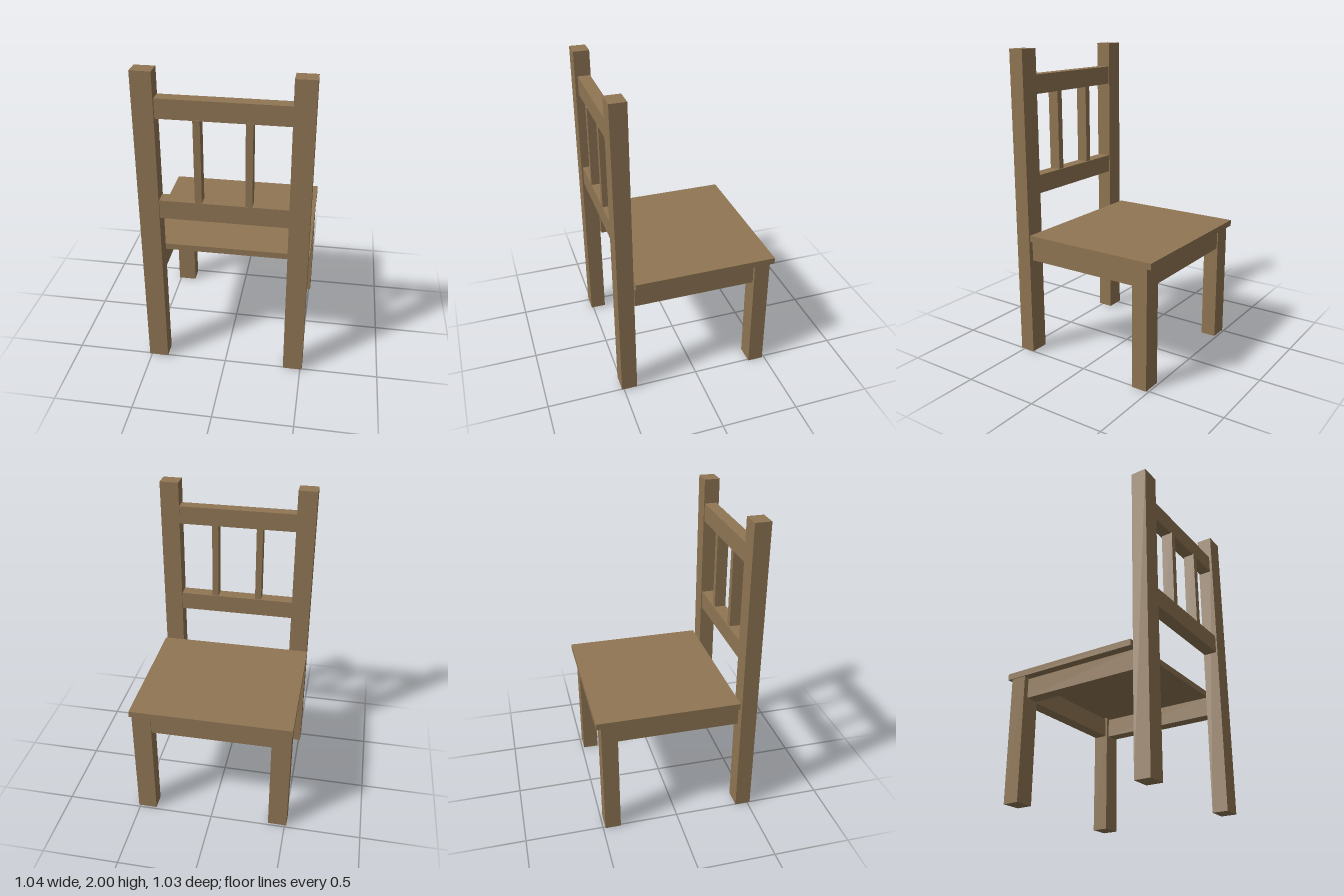
import * as THREE from 'three';

export function createModel() {
  const chair = new THREE.Group();
  chair.name = 'chair';
  const wood = new THREE.MeshStandardMaterial({ color: 0x8f7553 });
  wood.name = 'wood';

  // Board spanning [min, max] along each axis
  function board(name, [x0, x1], [y0, y1], [z0, z1]) {
    const mesh = new THREE.Mesh(new THREE.BoxGeometry(x1 - x0, y1 - y0, z1 - z0), wood);
    mesh.name = name;
    mesh.position.set((x0 + x1) / 2, (y0 + y1) / 2, (z0 + z1) / 2);
    chair.add(mesh);
  }

  // Mirrored parts: tall back posts, short legs and backrest slats
  for (const [side, s] of [['left', 1], ['right', -1]]) {
    const span = (a, b) => (s > 0 ? [a, b] : [-b, -a]);
    board(side + 'BackPost', span(0.388, 0.512), [0.008, 2], [0.413, 0.515]);
    board(side + 'ShortLeg', span(0.388, 0.512), [0, 0.79], [-0.485, -0.383]);
    board(side + 'Slat', span(0.129, 0.171), [1.2, 1.725], [0.428, 0.503]);
  }

  // Seat board and the aprons just under it
  board('seat', [-0.518, 0.518], [0.79, 0.83], [-0.515, 0.4]);
  board('legApron', [-0.388, 0.388], [0.655, 0.78], [-0.478, -0.395]);
  board('leftApron', [0.41, 0.492], [0.655, 0.78], [-0.383, 0.404]);
  board('rightApron', [-0.478, -0.396], [0.655, 0.78], [-0.383, 0.404]);

  // Backrest rails
  board('upperRail', [-0.388, 0.388], [1.72, 1.84], [0.418, 0.497]);
  board('lowerRail', [-0.388, 0.388], [1.08, 1.2], [0.42, 0.505]);

  return chair;
}
